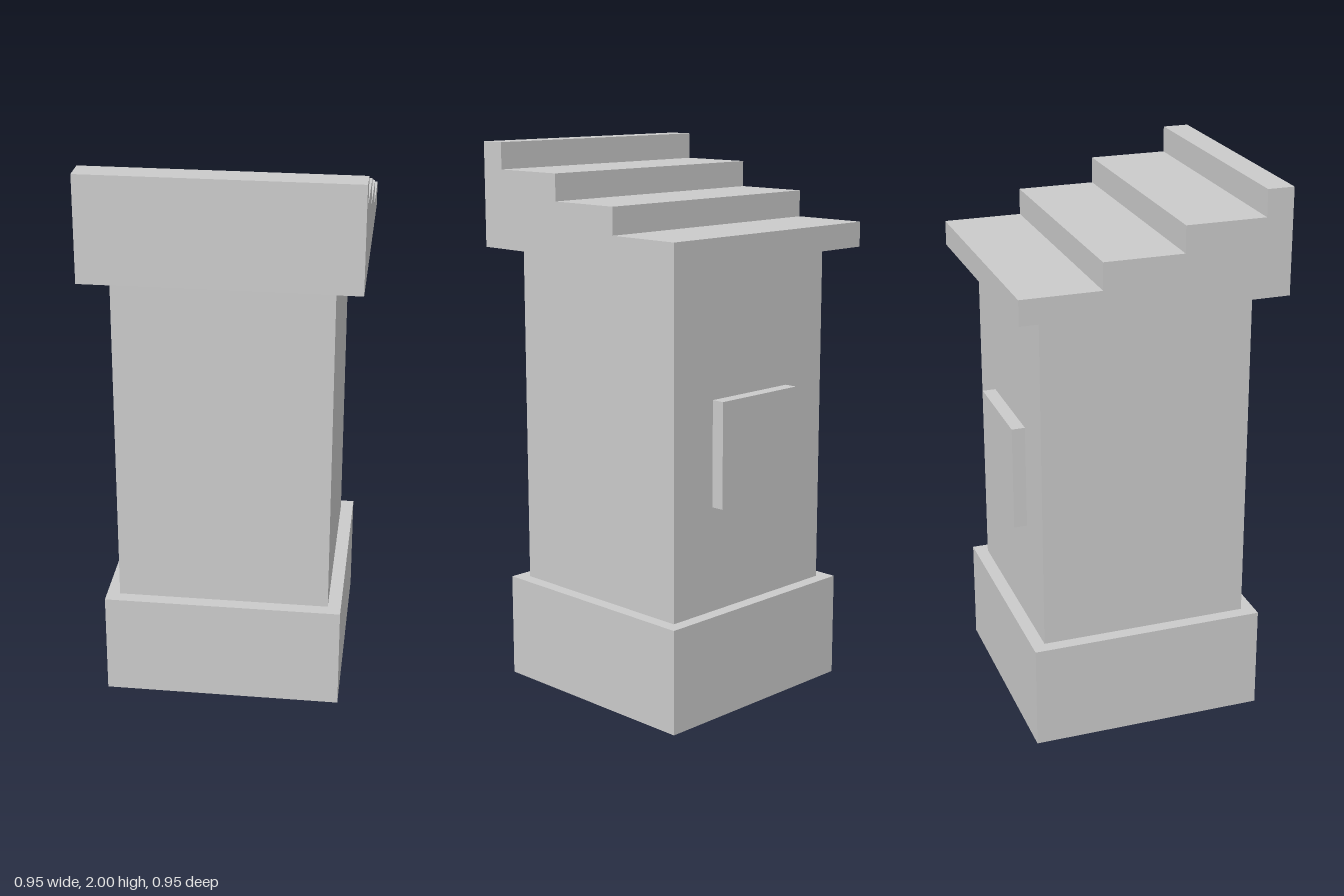
import * as THREE from 'three';

const material = new THREE.MeshStandardMaterial({ color: 0xcccccc, flatShading: true });

// Box named and placed by its bottom height and z centre
function box(name, width, height, depth, bottom, z = 0) {
  const mesh = new THREE.Mesh(new THREE.BoxGeometry(width, height, depth), material);
  mesh.name = name;
  mesh.position.set(0, bottom + height / 2, z);
  return mesh;
}

// Cap: side profile in (z, y) stepping down towards the back, extruded across x
function steppedCap() {
  const half = 0.476, bottom = 1.624;
  const steps = [[0.381, 2], [0.095, 1.905], [-0.19, 1.81], [-half, 1.714]]; // back edge, height
  const shape = new THREE.Shape();
  shape.moveTo(-half, bottom);
  shape.lineTo(half, bottom);
  let front = half;
  for (const [back, top] of steps) {
    shape.lineTo(front, top);
    shape.lineTo(back, top);
    front = back;
  }
  shape.closePath();
  const geometry = new THREE.ExtrudeGeometry(shape, { depth: half * 2, bevelEnabled: false });
  geometry.translate(0, 0, -half);
  geometry.rotateY(-Math.PI / 2);
  const mesh = new THREE.Mesh(geometry, material);
  mesh.name = 'steppedCap';
  return mesh;
}

export function createModel() {
  const group = new THREE.Group();
  group.name = 'pillar';
  group.add(
    box('base', 0.857, 0.381, 0.857, 0),
    box('shaft', 0.762, 1.243, 0.762, 0.381),
    box('backPlaque', 0.381, 0.381, 0.048, 0.762, -0.405),
    steppedCap()
  );
  return group;
}
